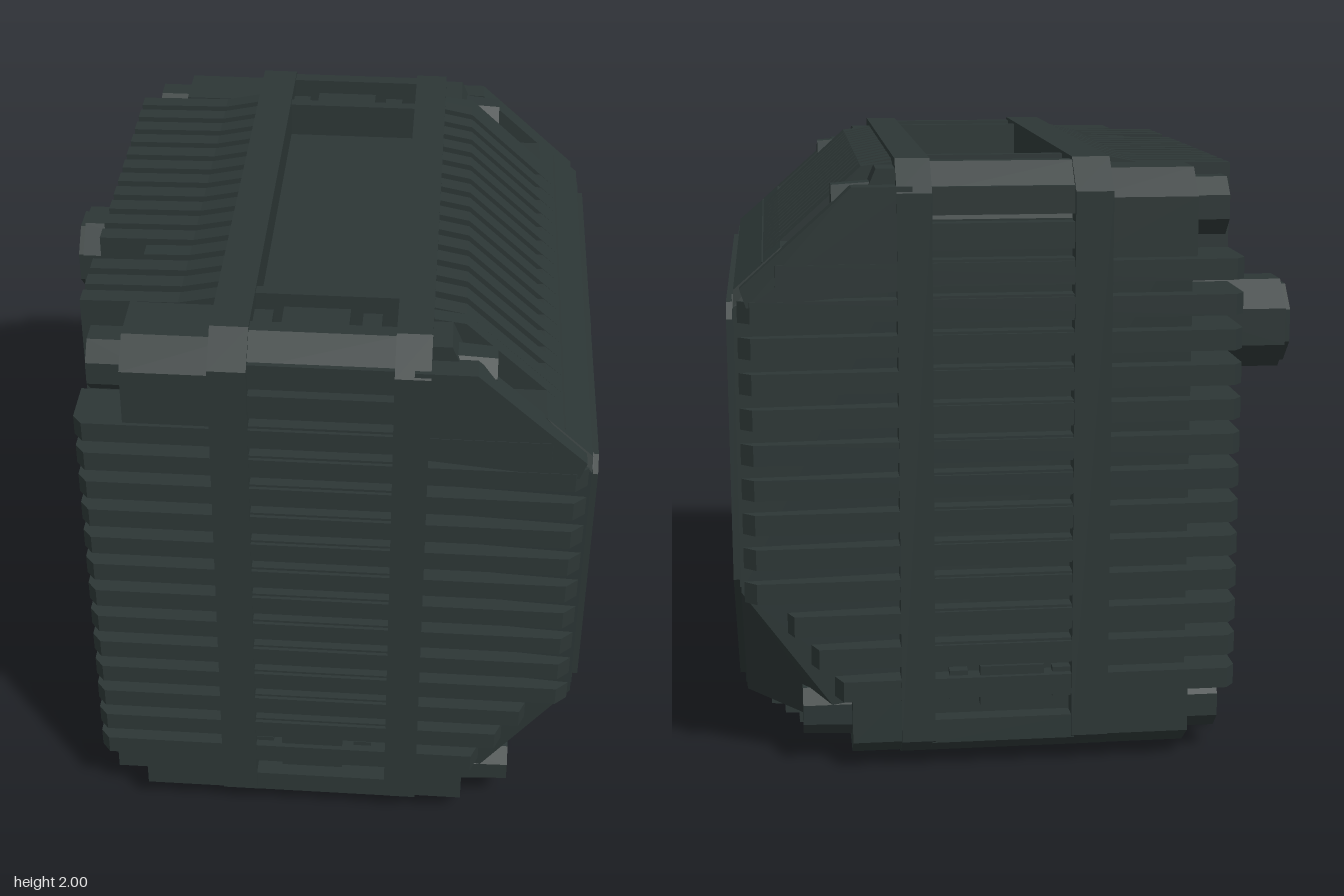
import * as THREE from 'three';
import { ConvexGeometry } from 'three/addons/geometries/ConvexGeometry.js';

export function createModel() {
  const model = new THREE.Group();
  model.name = 'finnedHousing';
  const casing = new THREE.MeshStandardMaterial({ color: 0x2c3635 });
  casing.name = 'dark green grey';
  casing.flatShading = true;

  const add = (name, geo, x = 0, y = 0, z = 0) => {
    const m = new THREE.Mesh(geo, casing);
    m.name = name;
    m.position.set(x, y, z);
    model.add(m);
    return m;
  };

  // Box given by its limits on each axis
  const box = (name, [x0, x1], [y0, y1], [z0, z1]) =>
    add(name, new THREE.BoxGeometry(x1 - x0, y1 - y0, z1 - z0), (x0 + x1) / 2, (y0 + y1) / 2, (z0 + z1) / 2);

  // Flat outline extruded along an axis: 'z' takes (x,y), 'x' takes (z,y), 'y' takes (x,z)
  const prism = (name, axis, pts, from, to, hole) => {
    const map = ([a, b]) => new THREE.Vector2(axis === 'x' ? -a : a, axis === 'y' ? -b : b);
    const shape = new THREE.Shape(pts.map(map));
    if (hole) shape.holes.push(new THREE.Path(hole.map(map)));
    const geo = new THREE.ExtrudeGeometry(shape, { depth: to - from, bevelEnabled: false });
    geo.translate(0, 0, from);
    if (axis === 'x') geo.rotateY(Math.PI / 2);
    if (axis === 'y') geo.rotateX(-Math.PI / 2);
    return add(name, geo);
  };

  // Half outline mirrored across the first coordinate
  const mirrored = (half) => [...half, ...half.map(([a, b]) => [-a, b]).reverse()];

  // Hull from (x, y, z) points mirrored in z
  const hull = (name, pts) => add(name, new ConvexGeometry(
    pts.flatMap(([x, y, z]) => [new THREE.Vector3(x, y, z), new THREE.Vector3(x, y, -z)])));

  const rod = (name, radius, sides, x0, x1, y, z, r2 = radius) => {
    const geo = new THREE.CylinderGeometry(r2, radius, x1 - x0, sides);
    geo.rotateY(Math.PI / sides);
    geo.rotateZ(-Math.PI / 2);
    return add(name, geo, (x0 + x1) / 2, y, z);
  };

  // Inner body: rear block and the bevelled block behind the face plate
  hull('rearCore', [-0.55, 0.4].flatMap((x) => [[x, 1.87, 0.84], [x, 1.81, 0.9], [x, 0.16, 0.9], [x, 0.1, 0.84]]));
  hull('faceCore', [
    [0.35, 1.73, 0.9], [0.35, 0.1, 0.88], [0.76, 1.73, 0.9], [0.6, 0.1, 0.82], [0.6, 0.18, 0.9],
    [0.91, 1.6, 0.91], [0.91, 1.55, 0.93], [0.91, 0.62, 0.93], [0.91, 0.07, 0.33],
  ]);

  // Two bands around the body
  const ring = mirrored([[0.6, 2], [0.87, 2], [0.97, 1.9], [0.97, 0.1], [0.87, 0.03], [0.6, 0]]);
  prism('rearBand', 'x', ring, -0.28, -0.16);
  prism('faceBand', 'x', ring, 0.29, 0.4);

  // Horizontal cooling fins on front and back, with free ends at the left-hand corners
  for (let i = 0; i < 15; i++) {
    const y = 0.28 + i * 0.114;
    if (y > 0.37) {
      for (const s of [-1, 1]) {
        box('middleFin', [-0.16, 0.29], [y - 0.042, y + 0.042], s > 0 ? [0.85, 0.955] : [-0.955, -0.85]);
      }
    }
    if (y > 1.66) continue;
    // Fins stop short of the bevelled lower corners and the sloped shoulder
    const low = y < 0.62;
    const corner = low ? 0.52 + (y - 0.18) * 0.68 : y > 1.6 ? 0.78 : 0.86;
    const tip = low ? [corner + 0.05, 0.85] : y > 1.6 ? [0.82, 0.88] : [0.9, 0.93];
    const half = (inner) => [[-0.55, inner], [-0.71, inner], [-0.71, 0.93], [-0.68, 0.967], [corner, 0.967], tip];
    prism('sideFin', 'y', [...half(0.78), ...half(0.7).map(([x, z]) => [x, -z]).reverse()], y - 0.034, y + 0.034);
  }

  // Vertical fins wrapping top, outer left-hand wall and underside
  for (let i = 0; i < 15; i++) {
    const z = -0.665 + i * 0.095;
    const xe = 0.84 - Math.max(0, Math.abs(z) - 0.35) * 0.5;
    let wall = [[-0.71, 0.04], [-0.71, 1.96]];
    const cut = (a, b) => [[-0.71, 0.04], [-0.71, a], [-0.54, a], [-0.54, b], [-0.71, b], [-0.71, 1.96]];
    if (Math.abs(z + 0.52) < 0.19) wall = cut(1.17, 1.66);
    if (Math.abs(z - 0.28) < 0.13) wall = cut(0.2, 0.52);
    if (i === 11) wall = [[-0.55, 0.04], [-0.55, 1.96]];
    prism('wrapFin', 'z', [
      ...wall, [-0.4, 1.965], [-0.28, 1.99], [-0.16, 1.8], [0.29, 1.8], [0.4, 1.985], [0.5, 1.965], [0.89, 1.615],
      [0.6, 1.4], [0.5, 0.2], [xe, 0.12], [xe, 0.04], [0.4, 0.02], [0.29, 0.2], [-0.16, 0.2], [-0.28, 0.02], [-0.4, 0.035],
    ], z - 0.03, z + 0.03);
  }

  for (const s of [-1, 1]) {
    const span = (a, b) => (s > 0 ? [a, b] : [-b, -a]);
    const side = (pts) => pts.map(([z, y]) => [s * z, y]);

    // Solid corners and bolts beside the left-hand wall
    const top = side([[0.7, 1.965], [0.88, 1.965], [0.965, 1.88], [0.965, 1.69], [0.7, 1.69]]);
    const base = side([[0.7, 0.035], [0.88, 0.035], [0.965, 0.1], [0.965, 0.25], [0.7, 0.25]]);
    for (const outline of [top, base]) prism('cornerBlock', 'x', outline, -0.55, -0.2);
    for (const y of [0.17, 1.84]) rod('wallBolt', 0.1, 8, -0.66, -0.5, y, s * 0.83);

    // Sloped shoulders and corner bolts on the plate end
    prism('shoulder', 'z', [[0.35, 1.5], [0.35, 1.985], [0.5, 1.965], [0.9, 1.605], [0.86, 1.5]], ...span(0.64, 0.75));
    prism('shoulderSide', 'z', [[0.35, 1.6], [0.35, 1.92], [0.54, 1.92], [0.89, 1.61], [0.87, 1.55]], ...span(0.88, 0.965));
    prism('boltSeat', 'z', [[0.35, 1.6], [0.35, 1.97], [0.46, 1.97], [0.56, 1.74], [0.76, 1.7]], ...span(0.74, 0.89));
    rod('topBolt', 0.1, 8, 0.4, 0.6, 1.84, s * 0.83, 0.085);
    rod('lowerBolt', 0.1, 8, 0.38, 0.72, 0.18, s * 0.82, 0.085);
    prism('lowerCorner', 'x', side([[0.72, 0.04], [0.88, 0.04], [0.96, 0.1], [0.96, 0.31], [0.72, 0.31]]), 0.35, 0.56);

    // Frames, bevelled edge bars and latch blocks of the top and bottom recesses
    prism('topEdgeBar', 'x', side([[0.82, 1.83], [0.82, 1.99], [0.87, 1.99], [0.955, 1.9], [0.955, 1.83]]), -0.17, 0.3);
    prism('footEdgeBar', 'x', side([[0.82, 0.17], [0.82, 0.01], [0.87, 0.03], [0.96, 0.09], [0.96, 0.17]]), -0.17, 0.3);
    for (const [yEnd, yBlock] of [[[1.83, 1.99], [1.83, 1.95]], [[0.01, 0.16], [0.05, 0.16]]]) {
      box('recessFrame', [-0.17, 0.3], yEnd, span(0.62, 0.66));
      box('latchBlock', [-0.07, 0.14], yBlock, span(0.67, 0.8));
      for (const x of [-0.16, 0.18]) box('latchLug', [x, x + 0.06], yBlock, span(0.69, 0.77));
    }

    // Latch at the foot of the front and back
    box('footLatch', [-0.07, 0.14], [0.21, 0.345], span(0.85, 0.95));
    for (const x of [-0.16, 0.18]) box('footLug', [x, x + 0.06], [0.23, 0.33], span(0.85, 0.94));
  }

  // Face plate with a round opening, set on a thin backing
  const circle = (r, y, n) => Array.from({ length: n }, (_, i) => {
    const a = (i + 0.5) / n * Math.PI * 2;
    return [Math.cos(a) * r, y + Math.sin(a) * r];
  });
  const opening = circle(0.215, 0.41, 10);
  prism('plateBacking', 'x', mirrored([[0.86, 1.58], [0.9, 1.54], [0.9, 0.63], [0.32, 0.09]]), 0.9, 0.915);
  prism('facePlate', 'x', mirrored([[0.83, 1.55], [0.87, 1.5], [0.87, 0.645], [0.3, 0.12]]), 0.91, 0.935, opening);
  prism('openingRim', 'x', mirrored([[0.25, 0.63], [0.31, 0.52], [0.31, 0.3], [0.23, 0.18]]), 0.93, 0.94, opening);
  rod('openingDome', 0.19, 10, 0.91, 0.925, 0.41, 0, 0.13);
  prism('upperMark', 'x', [[-0.06, 1.52], [0.06, 1.52], [0, 1.46]], 0.93, 0.94);
  prism('lowerMark', 'x', [[-0.05, 0.67], [0.05, 0.67], [0, 0.73]], 0.93, 0.94);

  // Knob and round socket on the left-hand wall
  rod('knob', 0.162, 8, -0.92, -0.54, 1.405, -0.52);
  rod('knobCap', 0.162, 8, -0.94, -0.92, 1.405, -0.52, 0.162).scale.set(1, 0.88, 0.88);
  rod('socket', 0.11, 8, -0.62, -0.54, 0.36, 0.28);

  return model;
}
